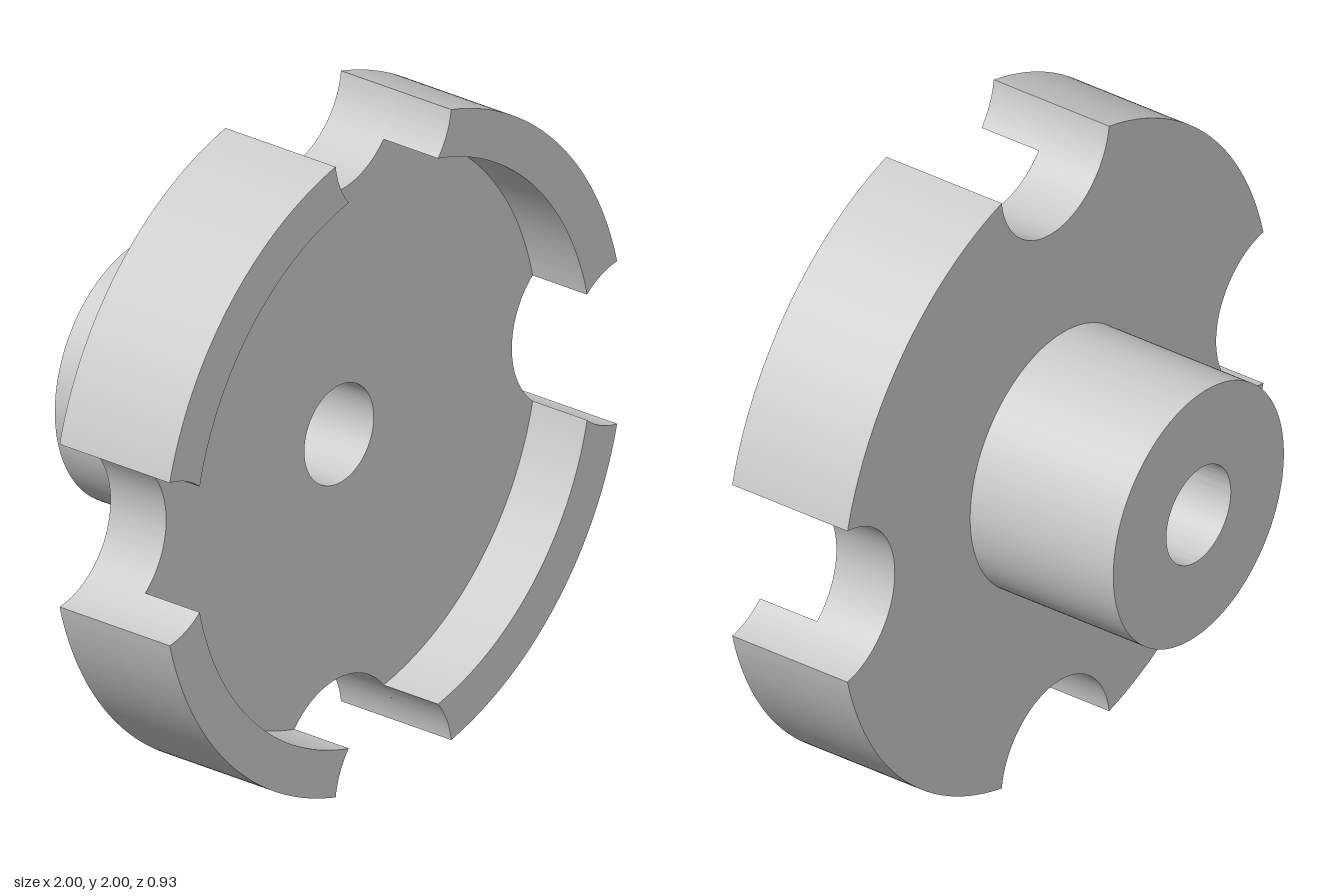
import * as THREE from 'three';
import { toCreasedNormals } from 'three/addons/utils/BufferGeometryUtils.js';

const OUTER = 1.0325, INNER = 0.888;       // rim radii
const NOTCH = 0.26, NOTCH_C = 1.0325;      // notch radius and distance from the axis
const HUB = 0.41, BORE = 0.155;
const Z_BACK = -0.465, Z_DISC = 0.05, Z_FLOOR = 0.26, Z_FRONT = 0.465;
const QUARTER = Math.PI / 2;

// Where a circle of radius R meets a notch: a seen from the axis, b seen from the notch centre
function meet(R) {
  const a = Math.acos((R * R + NOTCH_C * NOTCH_C - NOTCH * NOTCH) / (2 * R * NOTCH_C));
  return { a, b: Math.atan2(R * Math.sin(a), R * Math.cos(a) - NOTCH_C) };
}

function notchArc(shape, dir, from, to) {
  shape.absarc(NOTCH_C * Math.cos(dir), NOTCH_C * Math.sin(dir), NOTCH, dir + from, dir + to, true);
}

function addBore(shape) {
  shape.holes.push(new THREE.Path().absarc(0, 0, BORE, 0, Math.PI * 2, true));
  return shape;
}

export function createModel() {
  const group = new THREE.Group();
  const material = new THREE.MeshStandardMaterial({ color: 0xcccccc });
  const o = meet(OUTER), i = meet(INNER);

  function addPart(name, shape, z0, z1, curveSegments) {
    const geo = new THREE.ExtrudeGeometry(shape, { depth: z1 - z0, bevelEnabled: false, curveSegments });
    const mesh = new THREE.Mesh(toCreasedNormals(geo, 0.5), material);
    mesh.name = name;
    mesh.position.set(0, 1, z0);
    group.add(mesh);
  }

  // Notched floor plate with the bore
  const plate = new THREE.Shape();
  for (let k = 0; k < 4; k++) {
    const dir = k * QUARTER;
    plate.absarc(0, 0, OUTER, dir + o.a, dir + QUARTER - o.a, false);
    notchArc(plate, dir + QUARTER, -o.b, o.b);
  }
  addPart('floorPlate', addBore(plate), Z_DISC, Z_FLOOR, 32);

  // Four raised rim segments between the notches
  for (let k = 0; k < 4; k++) {
    const dir = k * QUARTER, next = dir + QUARTER;
    const rim = new THREE.Shape();
    rim.absarc(0, 0, OUTER, dir + o.a, next - o.a, false);
    notchArc(rim, next, -o.b, -i.b);
    rim.absarc(0, 0, INNER, next - i.a, dir + i.a, true);
    notchArc(rim, dir, i.b, o.b);
    addPart('rimSegment' + (k + 1), rim, Z_FLOOR, Z_FRONT, 32);
  }

  // Rear hub
  const hub = new THREE.Shape().absarc(0, 0, HUB, 0, Math.PI * 2, false);
  addPart('hub', addBore(hub), Z_BACK, Z_DISC, 64);

  return group;
}
